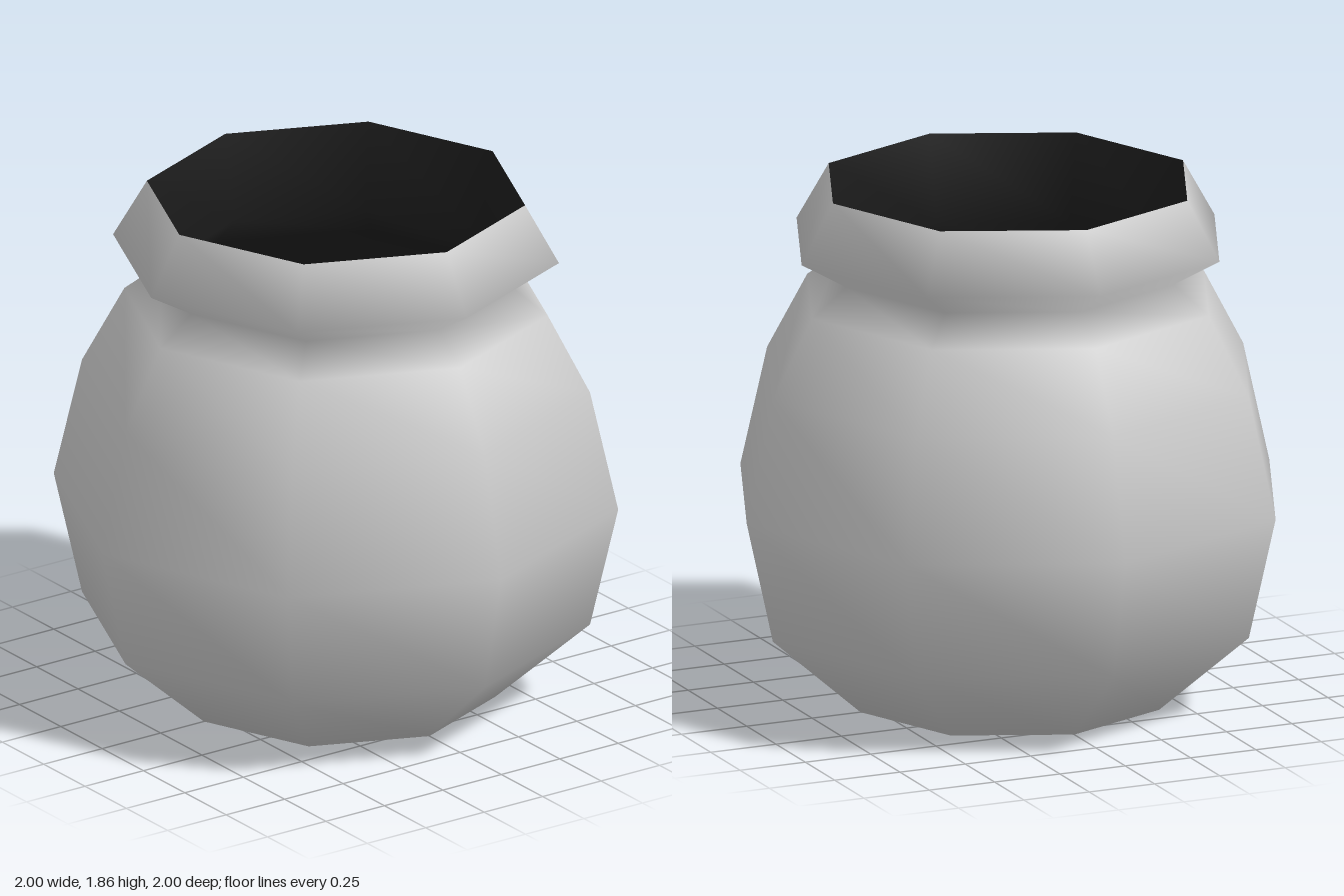
import * as THREE from 'three';

const SIDES = 8;

// Revolve a list of [radius, height] pairs into an eight-sided shell.
function revolve(name, profile, material) {
  const points = profile.map(([r, y]) => new THREE.Vector2(r, y));
  const mesh = new THREE.Mesh(new THREE.LatheGeometry(points, SIDES), material);
  mesh.name = name;
  return mesh;
}

export function createModel() {
  const clay = new THREE.MeshStandardMaterial({ color: 0xcccccc });
  const dark = new THREE.MeshStandardMaterial({ color: 0x1c1c1c });

  // Outer wall: base, round belly, pinched neck and flared lip
  const outer = [
    [0, 0], [0.565, 0], [0.9, 0.295], [1, 0.735], [0.9, 1.17],
    [0.75, 1.45], [0.62, 1.55], [0.79, 1.65], [0.67, 1.86],
  ];

  // Dark hollow, listed from the rim down so its faces point inward
  const inner = [
    [0.67, 1.86], [0.61, 1.55], [0.73, 1.43], [0.87, 1.16],
    [0.97, 0.735], [0.87, 0.31], [0.55, 0.03], [0, 0.03],
  ];

  const pot = new THREE.Group();
  pot.name = 'pot';
  pot.add(revolve('potBody', outer, clay), revolve('potInterior', inner, dark));
  return pot;
}
